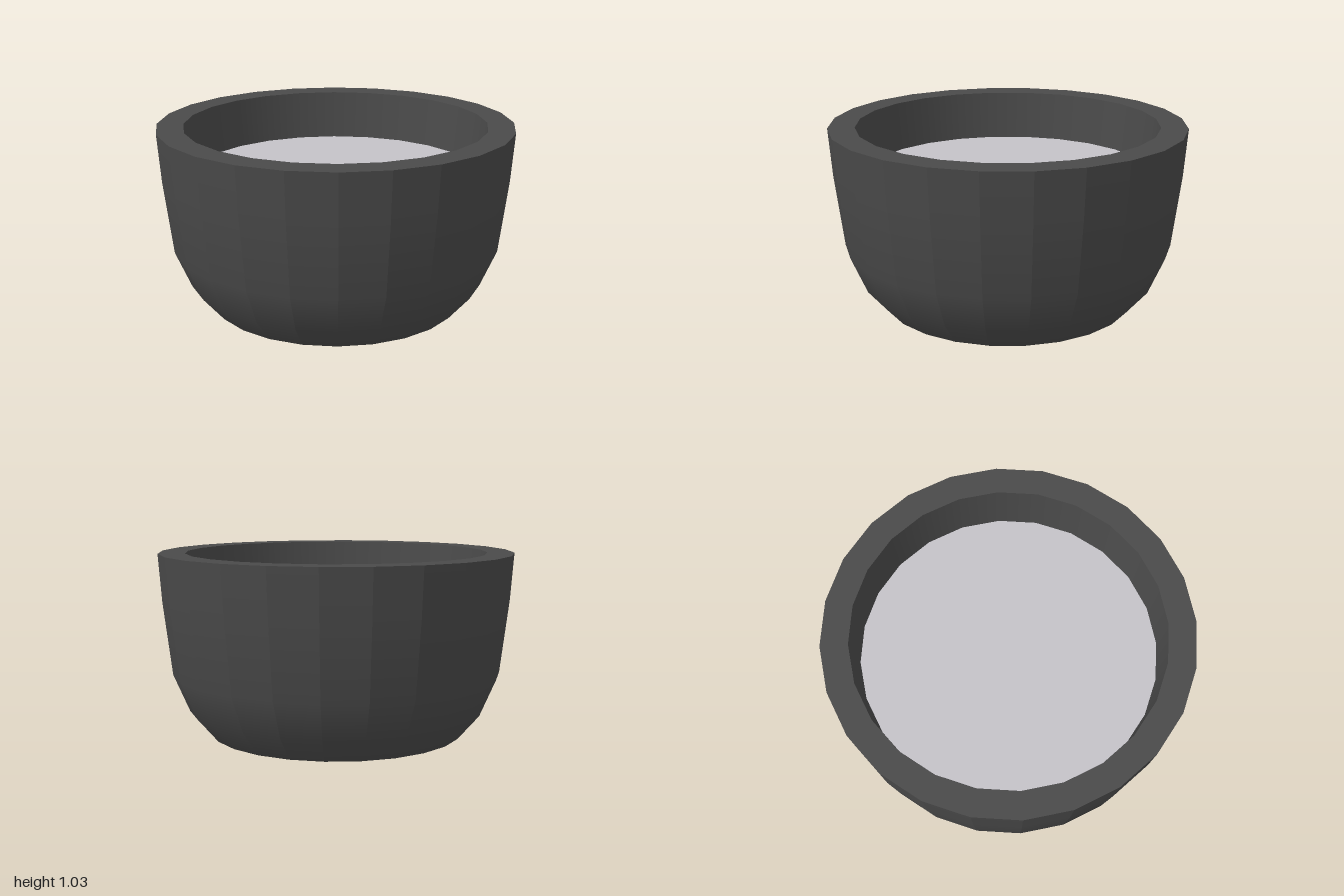
import * as THREE from 'three';

const SIDES = 24;
const charcoal = new THREE.MeshStandardMaterial({ color: 0x4a4a4a });
charcoal.name = 'charcoal';
const paleGrey = new THREE.MeshStandardMaterial({ color: 0xc4c2c8 });
paleGrey.name = 'paleGrey';

function lathe(points) {
  return new THREE.LatheGeometry(points.map(([r, y]) => new THREE.Vector2(r, y)), SIDES);
}

// Keeps the vertical curve smooth while each upright panel stays flat around the axis
function panelled(geometry) {
  const g = geometry.toNonIndexed();
  const p = g.attributes.position, n = g.attributes.normal;
  for (let i = 0; i < p.count; i += 3) {
    let x = 0, z = 0;
    for (let k = i; k < i + 3; k++) { x += p.getX(k); z += p.getZ(k); }
    const step = (2 * Math.PI) / SIDES;
    const angle = (Math.floor(Math.atan2(x, z) / step) + 0.5) * step;
    for (let k = i; k < i + 3; k++) {
      const r = Math.hypot(n.getX(k), n.getZ(k));
      n.setXYZ(k, r * Math.sin(angle), n.getY(k), r * Math.cos(angle));
    }
  }
  return g;
}

export function createModel() {
  const model = new THREE.Group();
  model.name = 'bowl';
  const add = (name, geometry, material) => {
    const mesh = new THREE.Mesh(geometry, material);
    mesh.name = name;
    model.add(mesh);
    return mesh;
  };

  // Curved outside, flat rim and inside wall
  add('outerWall', panelled(lathe([[0.72, 0], [0.84, 0.14], [0.93, 0.35], [0.98, 0.76], [1, 1.03]])), charcoal);
  add('rim', lathe([[1, 1.03], [0.85, 1.03]]), charcoal);
  add('innerWall', lathe([[0.85, 1.03], [0.82, 0.75]]), charcoal);

  // Flat underside and the pale surface of the contents
  const base = add('base', new THREE.CircleGeometry(0.72, SIDES), charcoal);
  base.rotation.x = Math.PI / 2;
  const contents = add('contents', new THREE.CircleGeometry(0.82, SIDES), paleGrey);
  contents.rotation.x = -Math.PI / 2;
  contents.position.y = 0.75;

  return model;
}
